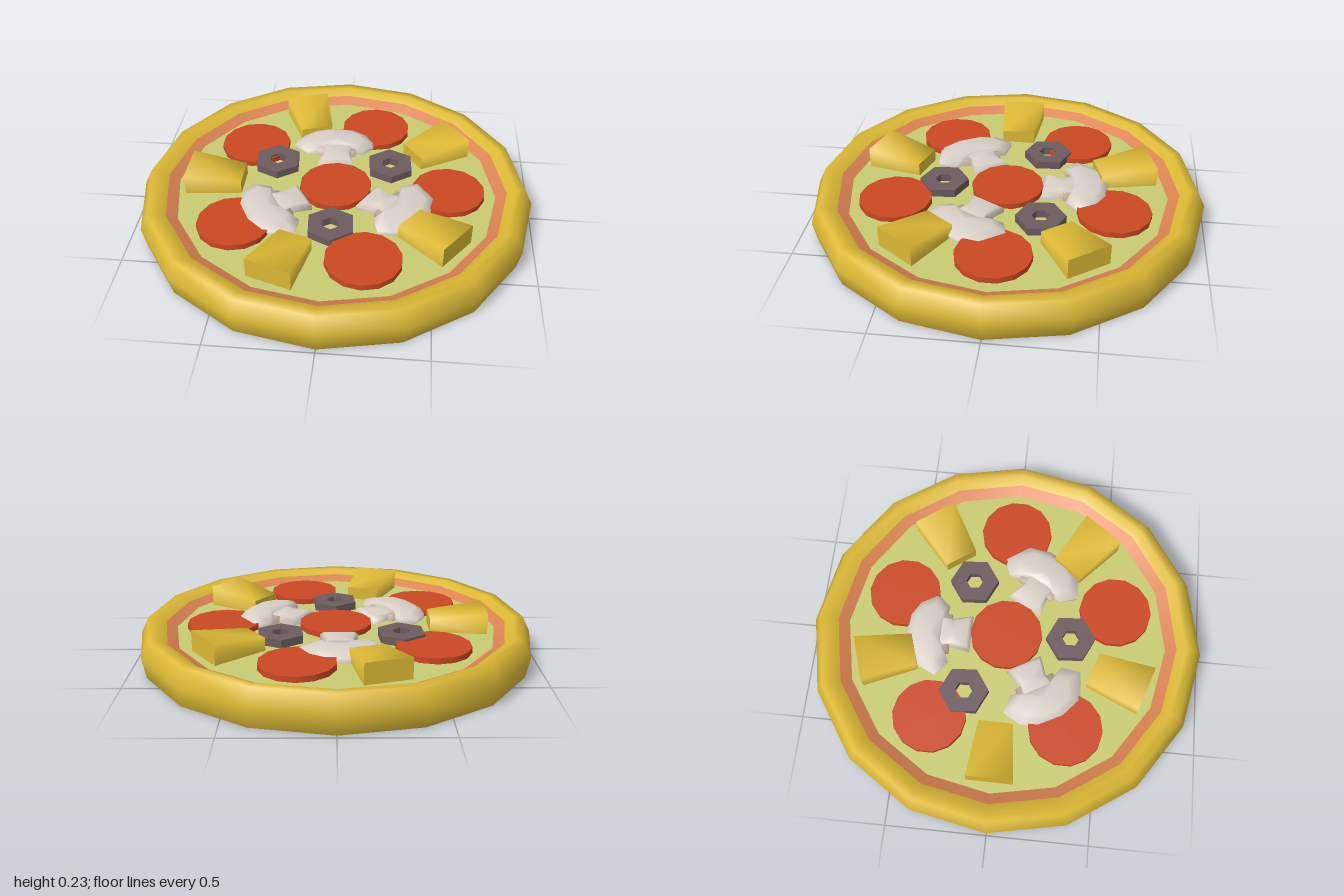
import * as THREE from 'three';

const mat = (name, color, side = THREE.FrontSide) => {
  const m = new THREE.MeshStandardMaterial({ color, side });
  m.name = name;
  return m;
};

// Stacks copies of an outline (counterclockwise from above) given [height, scale] rings, closed by a top fan
function loft(outline, rings) {
  const n = outline.length, pos = [], idx = [];
  const cx = outline.reduce((s, p) => s + p[0], 0) / n;
  const cz = outline.reduce((s, p) => s + p[1], 0) / n;
  for (const [y, s] of rings)
    for (const [x, z] of outline) pos.push(cx + (x - cx) * s, y, cz + (z - cz) * s);
  const top = (rings.length - 1) * n, apex = rings.length * n;
  pos.push(cx, rings[rings.length - 1][0] + 0.002, cz);
  for (let i = 0; i < n; i++) {
    const j = (i + 1) % n;
    for (let r = 0; r < top; r += n) idx.push(r + i, r + j, r + n + i, r + j, r + n + j, r + n + i);
    idx.push(top + i, top + j, apex);
  }
  const g = new THREE.BufferGeometry();
  g.setAttribute('position', new THREE.Float32BufferAttribute(pos, 3));
  g.setIndex(idx);
  g.computeVertexNormals();
  return g;
}

// Wedge along +x: smooth across its top and sides, sharp at its two ends
function chunkGeometry() {
  const section = (x, w, h) => [[x, 0.12, w], [x, h, w], [x, h, -w], [x, 0.12, -w]];
  const inner = section(0.475, 0.085, 0.193), outer = section(0.76, 0.115, 0.232);
  const pos = [...inner, ...outer, ...inner, ...outer].flat();
  const idx = [];
  for (let i = 0; i < 3; i++) idx.push(i, i + 4, i + 1, i + 1, i + 4, i + 5);
  idx.push(8, 9, 10, 8, 10, 11, 12, 14, 13, 12, 15, 14);
  const g = new THREE.BufferGeometry();
  g.setAttribute('position', new THREE.Float32BufferAttribute(pos, 3));
  g.setIndex(idx);
  g.computeVertexNormals();
  return g;
}

function hexRing(radius, hole) {
  const hex = r => Array.from({ length: 6 }, (_, i) => {
    const a = 1.65 + i * Math.PI / 3;
    return new THREE.Vector2(r * Math.cos(a), r * Math.sin(a));
  });
  const shape = new THREE.Shape(hex(radius));
  shape.holes.push(new THREE.Path(hex(hole)));
  return new THREE.ExtrudeGeometry(shape, { depth: 0.042, bevelEnabled: false }).rotateX(-Math.PI / 2);
}

export function createModel() {
  const model = new THREE.Group();
  model.name = 'pizza';
  const crustMat = mat('crustYellow', 0xdcb935);
  const sauceMat = mat('sauceOrange', 0xdc8452);
  const cheeseMat = mat('cheeseGreenYellow', 0xc8cc72);
  const sausageMat = mat('sausageRed', 0xcb4822);
  const oliveMat = mat('oliveGrey', 0x6c5c60);
  const mushroomMat = mat('mushroomWhite', 0xd8d0c8);
  const gillMat = mat('gillTan', 0xc2ad9c);

  const add = (name, geo, material, parent = model) => {
    const m = new THREE.Mesh(geo, material);
    m.name = name;
    parent.add(m);
    return m;
  };
  const lathe = pts => new THREE.LatheGeometry(pts.map(p => new THREE.Vector2(...p)), 16);

  // Base: crust, sauce ring and cheese
  add('crust', lathe([[0.95, 0], [0.98, 0], [1, 0.1], [0.96, 0.18], [0.915, 0.18], [0.87, 0.155]]), crustMat);
  add('crustBottom', new THREE.CircleGeometry(0.951, 16).rotateX(Math.PI / 2), crustMat);
  add('sauceRing', lathe([[0.87, 0.155], [0.815, 0.127]]), sauceMat);
  add('cheese', new THREE.CircleGeometry(0.816, 16).rotateX(-Math.PI / 2), cheeseMat).position.y = 0.127;

  // Sausage slices: one in the middle, five around it
  const sliceGeo = new THREE.CylinderGeometry(0.184, 0.184, 0.032, 14);
  const chunkGeo = chunkGeometry();
  add('sausageSlice', sliceGeo, sausageMat).position.y = 0.14;
  for (let i = 0; i < 5; i++) {
    const a = i * Math.PI * 2 / 5;
    add('sausageSlice', sliceGeo, sausageMat).position.set(0.575 * Math.cos(a), 0.14, 0.575 * Math.sin(a));
    // Pineapple chunks lie between the slices
    add('pineappleChunk', chunkGeo, crustMat).rotation.y = -(a + Math.PI / 5 + 0.01);
  }

  // Olive rings
  const oliveGeo = hexRing(0.125, 0.045);
  for (const [x, z] of [[-0.323, -0.182], [0.273, -0.193], [0.005, 0.329]])
    add('oliveRing', oliveGeo, oliveMat).position.set(x, 0.126, z);

  // Mushroom slices: cap, gills and stem, three times around
  const capGeo = loft([
    [-0.255, -0.34], [-0.18, -0.28], [-0.085, -0.32], [0.045, -0.32], [0.12, -0.305],
    [0.185, -0.375], [0.135, -0.46], [0.06, -0.505], [-0.08, -0.512], [-0.19, -0.475],
  ], [[0.12, 0.97], [0.152, 1], [0.176, 0.68]]);
  const gillGeo = loft([[-0.13, -0.285], [0.08, -0.285], [0.09, -0.36], [-0.14, -0.36]],
    [[0.12, 1], [0.158, 0.95]]);
  const stemGeo = loft([[-0.11, -0.18], [0.08, -0.18], [0.055, -0.28], [0.07, -0.36], [-0.11, -0.36], [-0.09, -0.28]],
    [[0.12, 1], [0.15, 1], [0.167, 0.8]]);
  for (let i = 0; i < 3; i++) {
    const mushroom = new THREE.Group();
    mushroom.name = 'mushroomSlice';
    mushroom.rotation.y = i * Math.PI * 2 / 3;
    add('mushroomCap', capGeo, mushroomMat, mushroom);
    add('mushroomGills', gillGeo, gillMat, mushroom);
    add('mushroomStem', stemGeo, mushroomMat, mushroom);
    model.add(mushroom);
  }
  return model;
}
